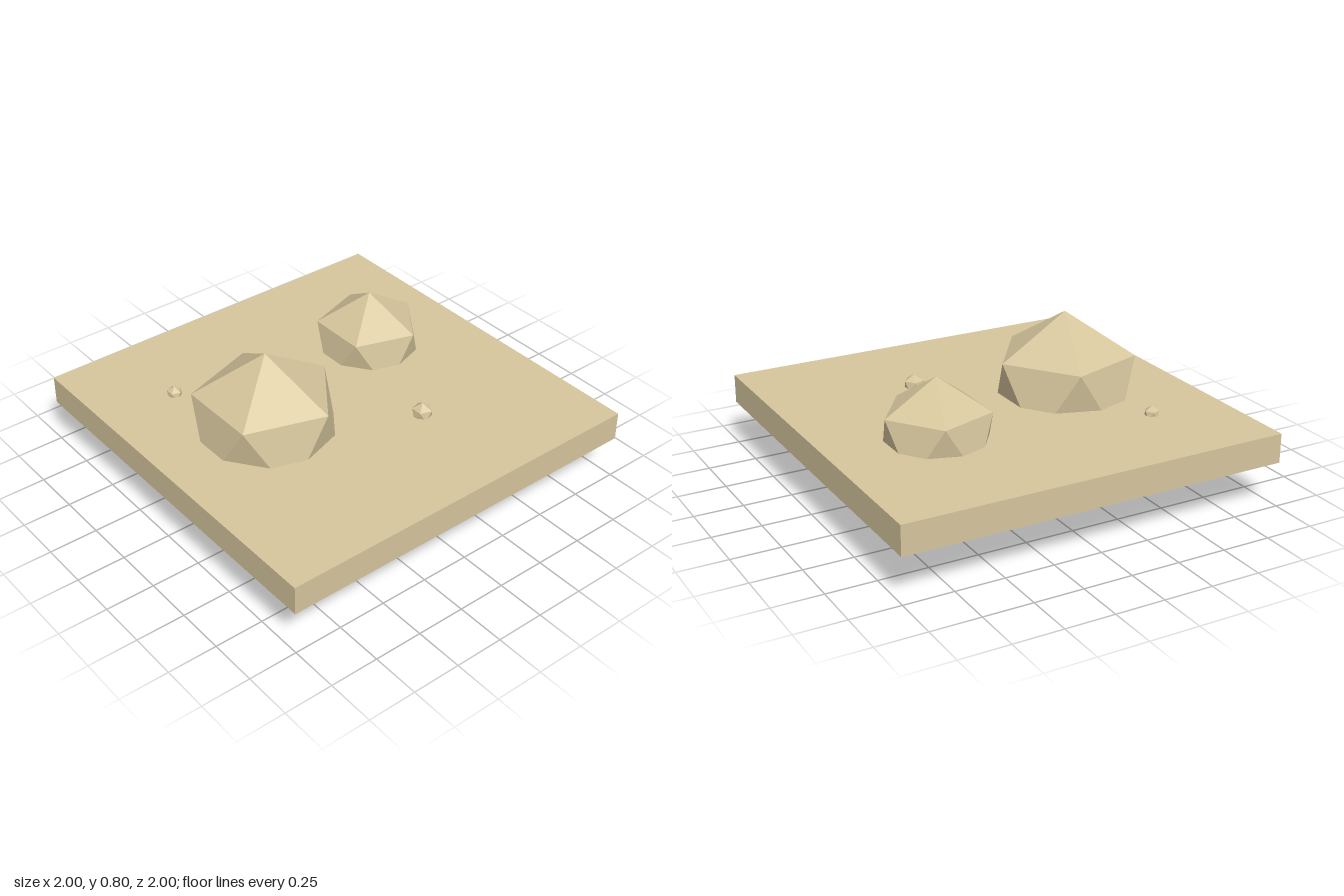
import * as THREE from 'three';

export function createModel() {
  const group = new THREE.Group();
  group.name = 'sandWithRocks';
  const sand = new THREE.MeshStandardMaterial({ color: 0xd6c69d, flatShading: true });
  sand.name = 'sand';

  // Flat ground slab
  const slab = new THREE.Mesh(new THREE.BoxGeometry(2, 0.15, 2), sand);
  slab.name = 'groundSlab';
  slab.position.y = 0.305;
  group.add(slab);

  // Twenty-sided rocks, tipped so that one corner points straight up
  const tilt = -Math.atan(2 / (1 + Math.sqrt(5)));
  const rocks = [
    ['largeRock', 0.399, -0.4, 0.4, 0],
    ['mediumRock', 0.299, 0.45, 0.389, -0.25],
    ['frontPebble', 0.057, 0.25, 0.39, 0.4],
    ['backPebble', 0.042, -0.6, 0.383, -0.5],
  ];
  for (const [name, radius, x, y, z] of rocks) {
    const rock = new THREE.Mesh(new THREE.IcosahedronGeometry(radius, 0).rotateZ(tilt), sand);
    rock.name = name;
    rock.position.set(x, y, z);
    group.add(rock);
  }
  return group;
}
